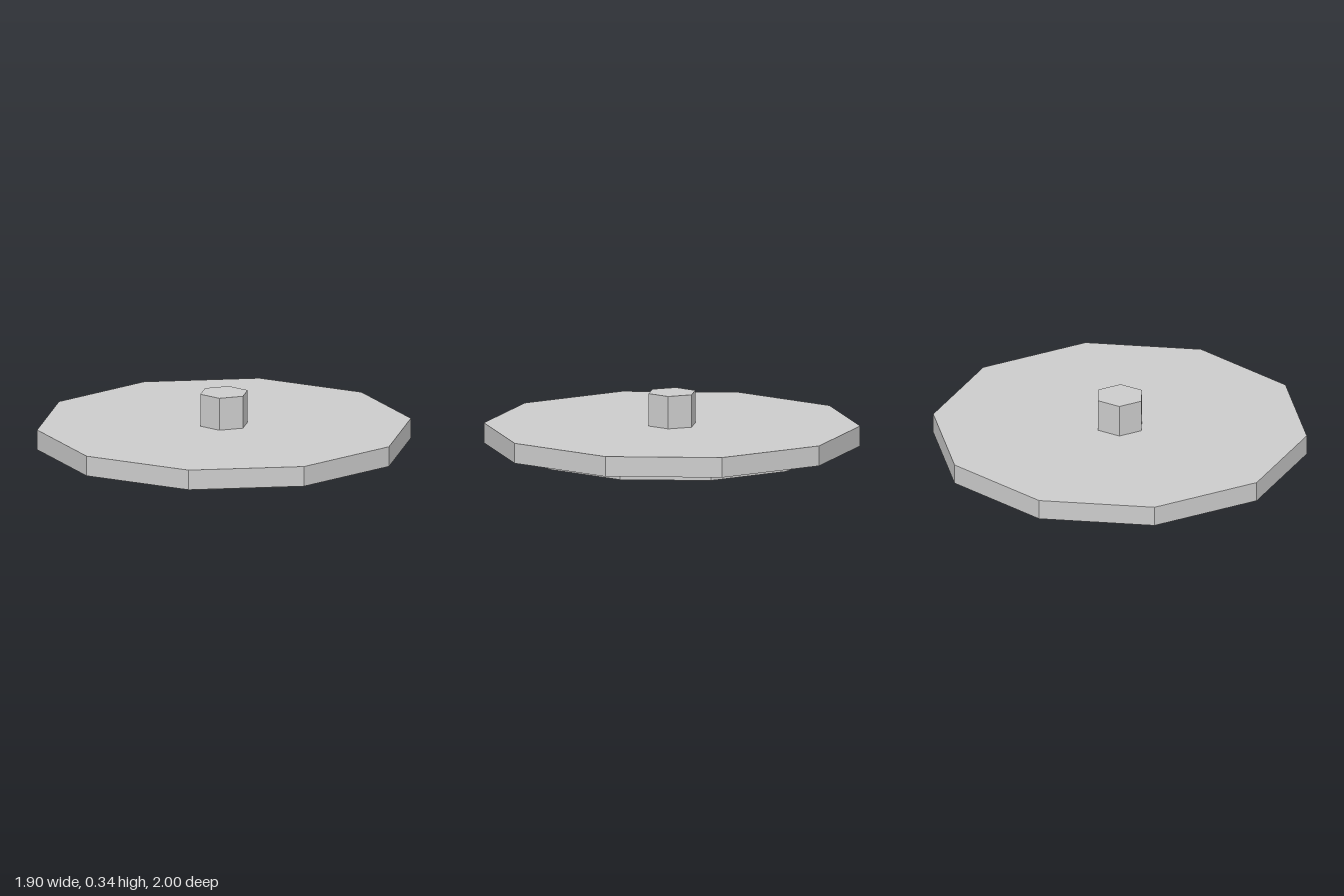
import * as THREE from 'three';

// Straight-sided prism standing between two heights, with a corner facing the front
function prism(name, radius, bottom, top, sides, material) {
  const geometry = new THREE.CylinderGeometry(radius, radius, top - bottom, sides).toNonIndexed();
  geometry.computeVertexNormals(); // faceted sides
  const mesh = new THREE.Mesh(geometry, material);
  mesh.name = name;
  mesh.position.y = (bottom + top) / 2;
  return mesh;
}

export function createModel() {
  const grey = new THREE.MeshStandardMaterial({ color: 0xcccccc });
  grey.name = 'light grey';

  const model = new THREE.Group();
  model.name = 'lid';
  model.add(
    prism('innerRim', 0.783, 0, 0.055, 10, grey), // narrower step underneath
    prism('disc', 1, 0.055, 0.163, 10, grey),
    prism('knob', 0.133, 0.163, 0.338, 6, grey),
  );
  return model;
}
